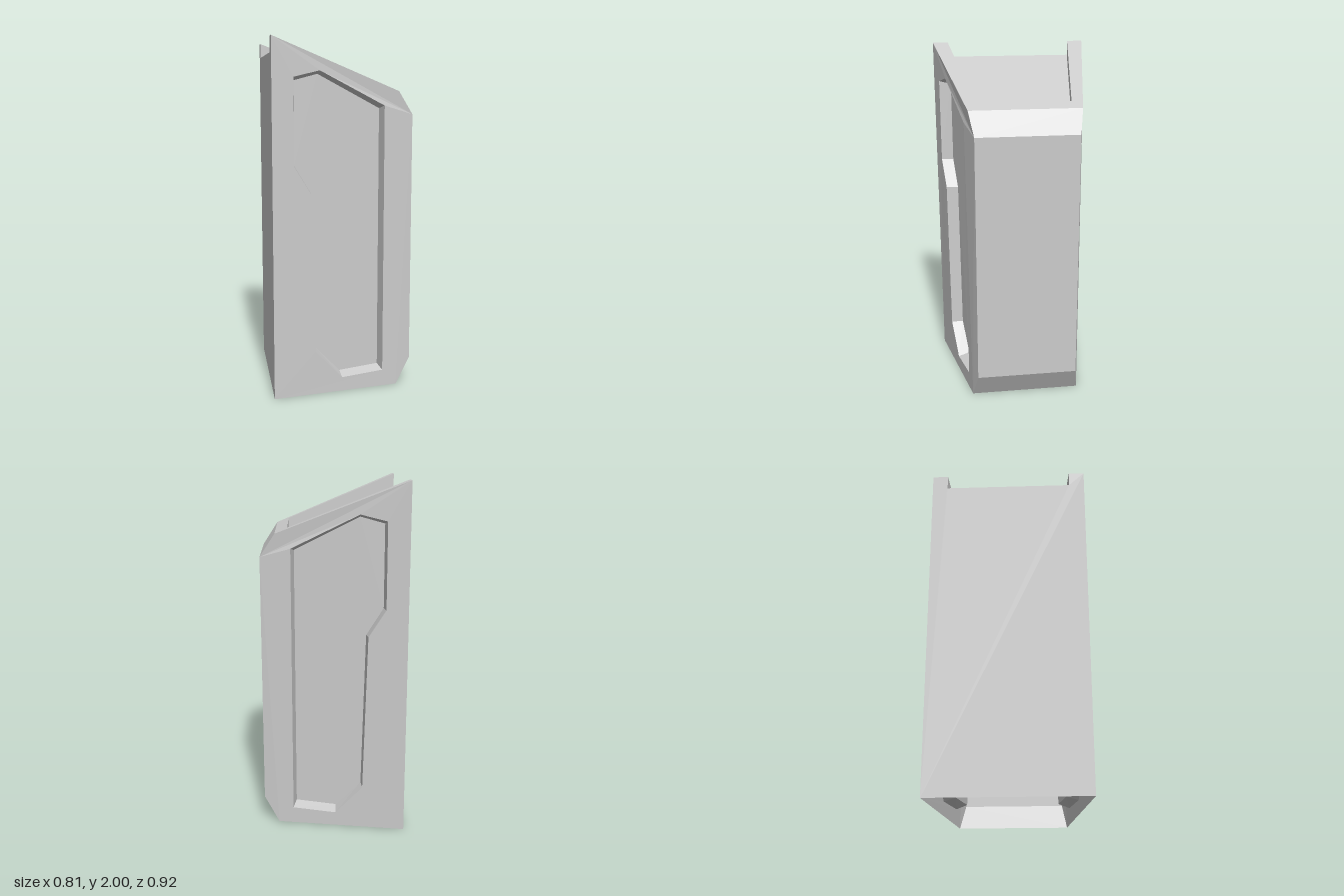
import * as THREE from 'three';

const BACK = -0.405, FRONT = 0.405, BEND = 0.32;
const material = new THREE.MeshStandardMaterial({ color: 0xcccccc, flatShading: true, side: THREE.DoubleSide });

// Half width of the tapering body at a point of its side outline
function halfWidth(x, y) {
  if (x > BEND) return THREE.MathUtils.mapLinear(x, BEND, FRONT, 0.315, 0.29);
  return THREE.MathUtils.mapLinear(x, BACK, BEND, 0.445 + 0.0075 * y, 0.315);
}
const topY = (x) => 1.71 + 0.4 * (BEND - x);

function addMesh(parent, name, geometry) {
  const mesh = new THREE.Mesh(geometry, material);
  mesh.name = name;
  parent.add(mesh);
}

// Band of quads between two paths of equal length
function strip(a, b) {
  const pos = [];
  for (let i = 0; i < a.length - 1; i++) {
    pos.push(...a[i], ...b[i], ...b[i + 1], ...a[i], ...b[i + 1], ...a[i + 1]);
  }
  const g = new THREE.BufferGeometry();
  g.setAttribute('position', new THREE.Float32BufferAttribute(pos, 3));
  g.computeVertexNormals();
  return g;
}

const toShape = (pts) => new THREE.Shape(pts.map((p) => new THREE.Vector2(...p)));

// Flat shape laid onto the tapering side, sunk by a depth
function sidePanel(shape, depth) {
  const g = new THREE.ShapeGeometry(shape);
  const p = g.attributes.position;
  for (let i = 0; i < p.count; i++) p.setZ(i, halfWidth(p.getX(i), p.getY(i)) - depth);
  g.computeVertexNormals();
  return g;
}

export function createModel() {
  const model = new THREE.Group();
  model.name = 'taperedHousing';

  // Side outline and the recess cut into it
  const frontEdge = [[BEND, 0], [FRONT, 0.15], [FRONT, 1.58], [BEND, 1.71]];
  const outline = [[BACK, 0], ...frontEdge, [BACK, 2]];
  const rim = [[-0.285, 1.785], [-0.14, 1.82], [0.235, 1.63], [0.235, 0.095],
    [-0.01, 0.08], [-0.165, 0.25], [-0.19, 1.15], [-0.285, 1.305]];
  const floor = [[-0.277, 1.768], [-0.145, 1.803], [0.216, 1.615], [0.216, 0.115],
    [-0.016, 0.1], [-0.16, 0.253], [-0.183, 1.147], [-0.277, 1.303]];
  const depth = 0.068;
  const onSide = (pts, d) => [...pts, pts[0]].map(([x, y]) => [x, y, halfWidth(x, y) - d]);

  // Two mirrored sides, each with its recess
  for (const s of [1, -1]) {
    const side = new THREE.Group();
    side.name = s > 0 ? 'frontSide' : 'rearSide';
    const panel = toShape(outline);
    panel.holes.push(toShape(rim));
    addMesh(side, 'sidePanel', sidePanel(panel, 0));
    addMesh(side, 'recessWalls', strip(onSide(rim, 0), onSide(floor, depth)));
    addMesh(side, 'recessFloor', sidePanel(toShape(floor), depth));
    side.scale.z = s;
    model.add(side);
  }

  // Narrow end with its upper and lower chamfers
  const edge = (s) => frontEdge.map(([x, y]) => [x, y, s * halfWidth(x, y)]);
  addMesh(model, 'narrowEnd', strip(edge(1), edge(-1)));

  // Sloped top: raised rim around a tray that is open at the wide end
  const trayX = 0.25, trayDepth = 0.085;
  const path = (x, zBack, zFront, drop) => [
    [BACK, 2 - drop, zBack], [x, topY(x) - drop, zFront],
    [x, topY(x) - drop, -zFront], [BACK, 2 - drop, -zBack]];
  const outer = path(BEND, 0.46, 0.315, 0);
  const inner = path(trayX, 0.37, 0.265, 0);
  const tray = path(trayX, 0.37, 0.265, trayDepth);
  addMesh(model, 'topRim', strip(inner, outer));
  addMesh(model, 'trayWalls', strip(tray, inner));
  addMesh(model, 'trayFloor', strip([tray[3], tray[2]], [tray[0], tray[1]]));

  // Wide end, notched where the tray opens; the underside stays open
  const notch = 2 - trayDepth;
  const wideEnd = new THREE.ShapeGeometry(toShape([[-0.445, 0], [0.445, 0], [0.46, 2], [0.37, 2],
    [0.37, notch], [-0.37, notch], [-0.37, 2], [-0.46, 2]]));
  wideEnd.rotateY(-Math.PI / 2).translate(BACK, 0, 0);
  addMesh(model, 'wideEnd', wideEnd);

  return model;
}
